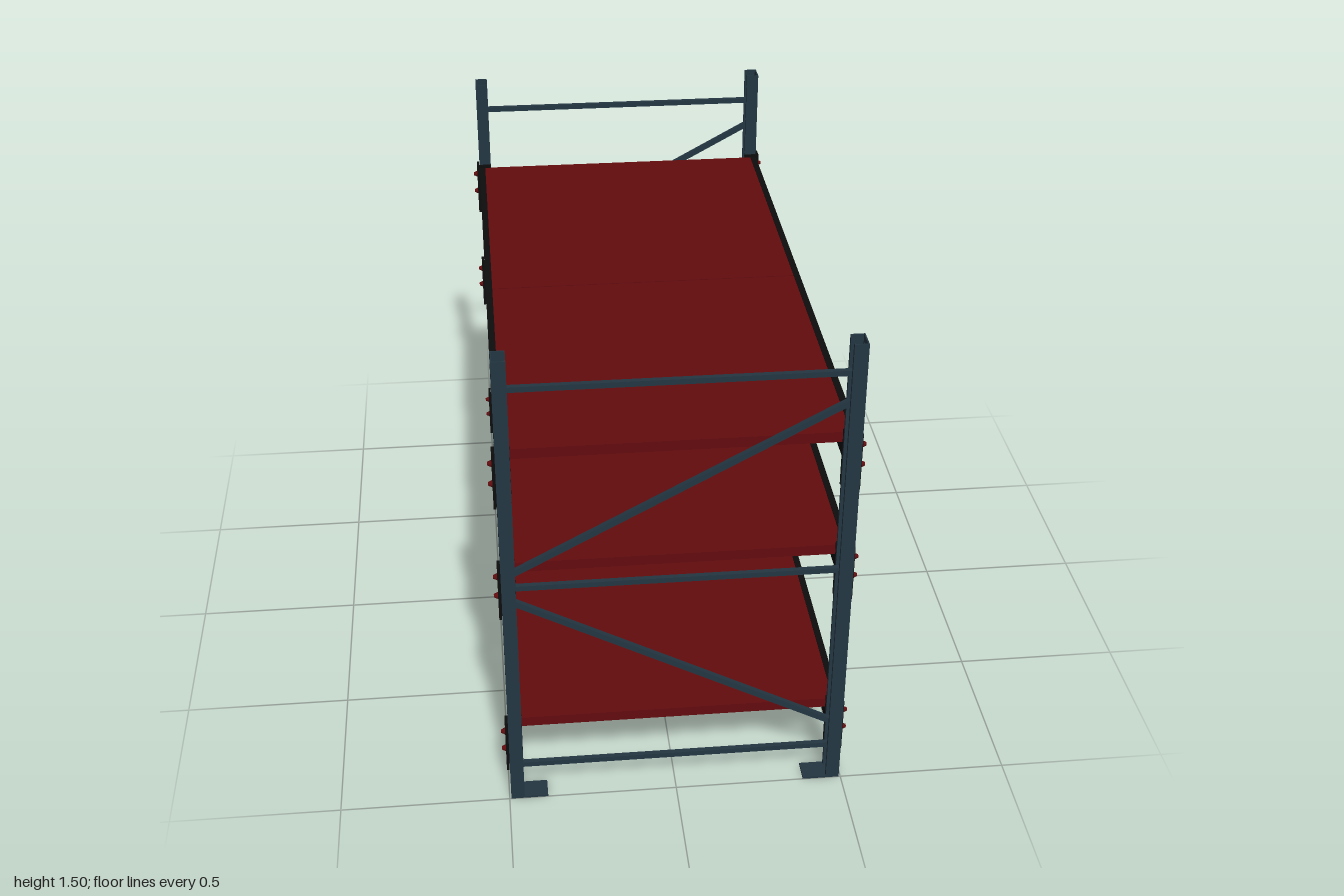
import * as THREE from 'three';

const steel = new THREE.MeshStandardMaterial({ color: 0x243642 });
steel.name = 'blue grey steel';
const black = new THREE.MeshStandardMaterial({ color: 0x0d0d0d });
black.name = 'black steel';
const red = new THREE.MeshStandardMaterial({ color: 0x640c0e });
red.name = 'dark red';

const HEIGHT = 1.5;
const SHELF_TOPS = [0.255, 0.817, 1.193];

function add(parent, name, geometry, material, x = 0, y = 0, z = 0) {
  const mesh = new THREE.Mesh(geometry, material);
  mesh.name = name;
  mesh.position.set(x, y, z);
  parent.add(mesh);
  return mesh;
}
const box = (w, h, d) => new THREE.BoxGeometry(w, h, d);

function polygon(points) {
  return new THREE.Shape(points.map(([x, y]) => new THREE.Vector2(x, y)));
}
const extrude = (shape, depth) => new THREE.ExtrudeGeometry(shape, { depth, bevelEnabled: false });

// Perforated web lying in the z-y plane, thickness along x
function webGeometry() {
  const shape = polygon([[-0.03, 0], [0.03, 0], [0.03, HEIGHT], [-0.03, HEIGHT]]);
  for (let i = 0; i < 33; i++) {
    const y = 0.03 + i * 0.045;
    for (const u of [-0.013, 0.013]) {
      const hole = new THREE.Path();
      hole.moveTo(u - 0.006, y - 0.011);
      hole.lineTo(u - 0.006, y + 0.011);
      hole.lineTo(u + 0.006, y + 0.011);
      hole.lineTo(u + 0.006, y - 0.011);
      hole.closePath();
      shape.holes.push(hole);
    }
  }
  return extrude(shape, 0.004).translate(0, 0, -0.002).rotateY(Math.PI / 2);
}

// Open channel upright with a foot plate
function upright(sx, sz, web) {
  const g = new THREE.Group();
  g.name = 'upright';
  add(g, 'perforatedWeb', web, steel, sx * 0.493, 0, sz * 0.97);
  for (const s of [-1, 1]) {
    add(g, 'flange', box(0.04, HEIGHT, 0.004), steel, sx * 0.475, HEIGHT / 2, sz * 0.97 + s * 0.028);
    add(g, 'lip', box(0.004, HEIGHT, 0.008), steel, sx * 0.457, HEIGHT / 2, sz * 0.97 + s * 0.024);
  }
  add(g, 'footPlate', box(0.11, 0.006, 0.064), steel, sx * 0.44, 0.003, sz * 0.968);
  return g;
}

// Bar between two points in the frame plane
function brace(parent, name, x0, y0, x1, y1, z, size) {
  const length = Math.hypot(x1 - x0, y1 - y0);
  const bar = add(parent, name, box(length, size, 0.015), steel, (x0 + x1) / 2, (y0 + y1) / 2, z);
  bar.rotation.z = Math.atan2(y1 - y0, x1 - x0);
}

function endFrame(sz, web) {
  const g = new THREE.Group();
  g.name = sz > 0 ? 'frontFrame' : 'backFrame';
  for (const sx of [-1, 1]) g.add(upright(sx, sz, web));
  const z = sz * 0.968;
  for (const y of [0.108, 0.756, 1.4]) brace(g, 'horizontalBrace', -0.462, y, 0.462, y, z, 0.016);
  brace(g, 'lowerDiagonal', -0.462, 0.705, 0.462, 0.2, z, 0.018);
  brace(g, 'upperDiagonal', -0.462, 0.805, 0.462, 1.31, z, 0.018);
  return g;
}

// Stepped load beam, x outward and y measured down from the shelf top
function beamGeometry(sx) {
  const points = [[0.455, -0.08], [0.495, -0.08], [0.495, 0], [0.476, 0], [0.476, -0.03], [0.455, -0.03]];
  return extrude(polygon(points.map(([x, y]) => [sx * x, y])), 1.87).translate(0, 0, -0.935);
}

// Corrugated underside: trapezoid ribs running across the shelf
function ribGeometry() {
  const half = 0.934, count = 12, pitch = (half * 2) / count;
  const points = [[-half, -0.027]];
  for (let i = 0; i < count; i++) {
    const u = -half + i * pitch;
    points.push([u, -0.033], [u + pitch * 0.16, -0.033], [u + pitch * 0.32, -0.063],
      [u + pitch * 0.68, -0.063], [u + pitch * 0.84, -0.033]);
  }
  points.push([half, -0.033], [half, -0.027]);
  return extrude(polygon(points), 0.908).translate(0, 0, -0.454).rotateY(Math.PI / 2);
}

// Hooked end plate with two safety pins
function connector(sx, sz) {
  const g = new THREE.Group();
  g.name = 'beamConnector';
  add(g, 'sidePlate', box(0.008, 0.18, 0.035), black, sx * 0.5, -0.08, sz * 0.9515);
  add(g, 'endPlate', box(0.05, 0.18, 0.006), black, sx * 0.479, -0.08, sz * 0.936);
  for (const y of [-0.03, -0.095]) {
    const pin = add(g, 'pin', new THREE.CylinderGeometry(0.005, 0.011, 0.013, 10), red,
      sx * 0.5095, y, sz * 0.954);
    pin.rotation.z = -sx * Math.PI / 2;
  }
  return g;
}

function shelf(top, ribs, beams) {
  const g = new THREE.Group();
  g.name = 'shelf';
  g.position.y = top;
  add(g, 'corrugatedUnderside', ribs, red);
  for (const s of [-1, 1]) {
    add(g, 'deckPanel', box(0.95, 0.028, 0.932), red, 0, -0.014, s * 0.469);
    add(g, 'loadBeam', beams[s], black);
    for (const sz of [-1, 1]) g.add(connector(s, sz));
  }
  return g;
}

export function createModel() {
  const model = new THREE.Group();
  model.name = 'palletRack';
  const web = webGeometry();
  for (const sz of [-1, 1]) model.add(endFrame(sz, web));
  const ribs = ribGeometry();
  const beams = { [-1]: beamGeometry(-1), 1: beamGeometry(1) };
  for (const top of SHELF_TOPS) model.add(shelf(top, ribs, beams));
  return model;
}
